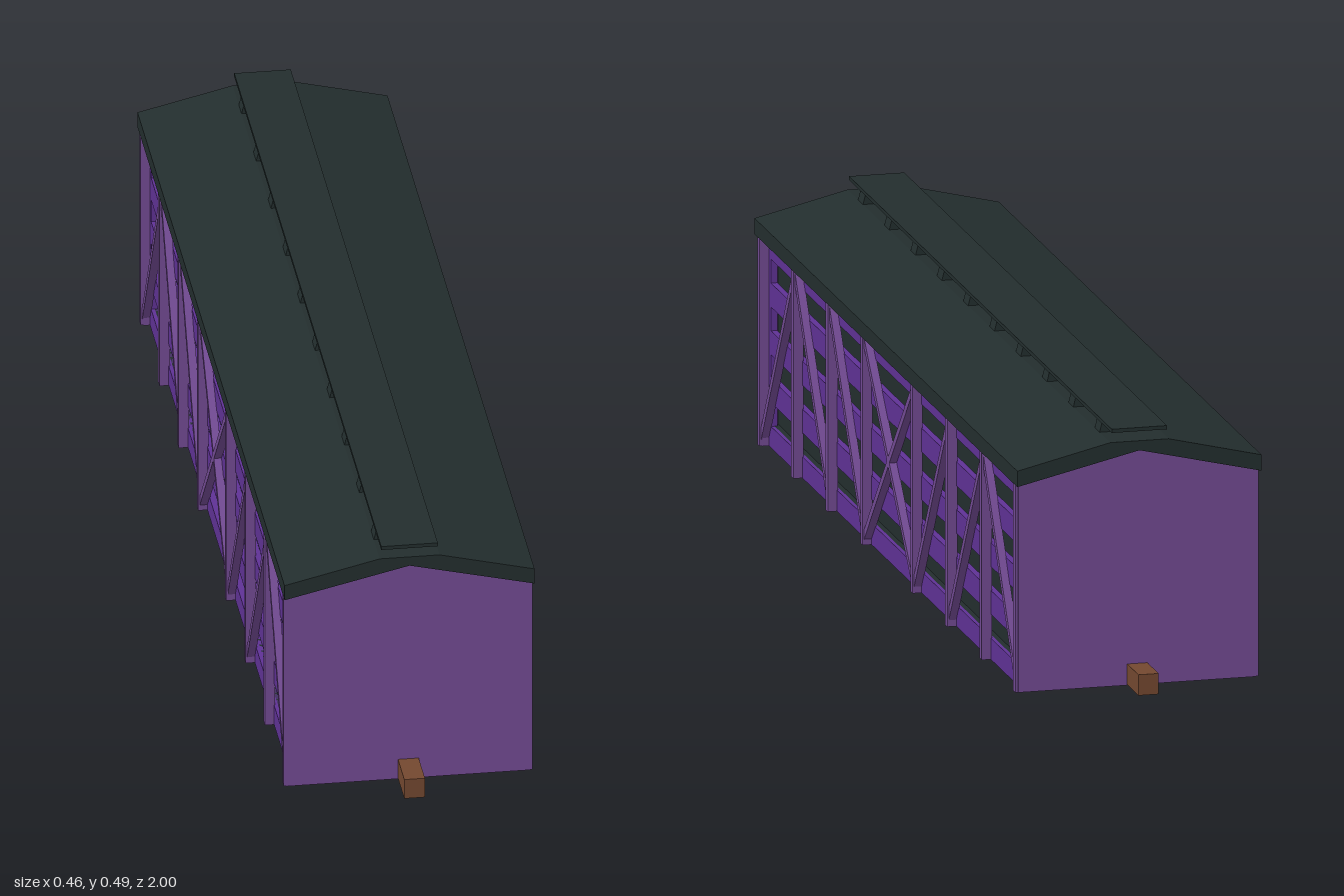
import * as THREE from 'three';

export function createModel() {
  const model = new THREE.Group();
  model.name = 'slattedRailCar';

  const mat = (name, color) => {
    const m = new THREE.MeshStandardMaterial({ color });
    m.name = name;
    return m;
  };
  const paleViolet = mat('paleViolet', 0x734b94);
  const deepViolet = mat('deepViolet', 0x603296);
  const slate = mat('slate', 0x232e2e);
  const brown = mat('brown', 0x744830);

  const add = (name, geometry, material, x = 0, y = 0, z = 0) => {
    const mesh = new THREE.Mesh(geometry, material);
    mesh.name = name;
    mesh.position.set(x, y, z);
    model.add(mesh);
    return mesh;
  };
  // Box given by its extents
  const box = (name, material, x0, x1, y0, y1, z0, z1) =>
    add(name, new THREE.BoxGeometry(x1 - x0, y1 - y0, z1 - z0), material,
      (x0 + x1) / 2, (y0 + y1) / 2, (z0 + z1) / 2);
  // Outline in x and y, extruded along z and centred on z
  const prism = (name, material, points, depth, z = 0) => {
    const shape = new THREE.Shape(points.map(([x, y]) => new THREE.Vector2(x, y)));
    const g = new THREE.ExtrudeGeometry(shape, { depth, bevelEnabled: false });
    return add(name, g.translate(0, 0, -depth / 2), material, 0, 0, z);
  };

  // Dark interior and floor
  box('interior', slate, -0.195, 0.195, 0.03, 0.4, -0.9, 0.9);
  box('floor', slate, -0.205, 0.205, 0.003, 0.04, -0.9, 0.9);

  // Gabled end walls and couplers
  for (const s of [-1, 1]) {
    prism('endWall', paleViolet,
      [[-0.224, 0], [0.224, 0], [0.224, 0.394], [0, 0.446], [-0.224, 0.394]], 0.02, s * 0.91);
    box('coupler', brown, -0.019, 0.019, 0.001, 0.04, s > 0 ? 0.91 : -1, s > 0 ? 1 : -0.91);
  }

  // Roof with flat crown
  prism('roof', slate, [[-0.23, 0.391], [0, 0.445], [0.23, 0.391], [0.23, 0.421],
    [0.055, 0.463], [-0.055, 0.463], [-0.23, 0.421]], 1.87);

  // Running board on saddles
  box('runningBoard', slate, -0.052, 0.052, 0.481, 0.488, -0.935, 0.935);
  for (let i = 0; i < 10; i++) {
    prism('boardSaddle', slate,
      [[-0.055, 0.462], [0.055, 0.462], [0.05, 0.482], [-0.05, 0.482]], 0.035, -0.841 + i * 0.187);
  }

  // Side slats, posts and diagonal braces
  const slats = [[0, 0.04], [0.085, 0.13], [0.175, 0.22], [0.265, 0.31], [0.355, 0.4]];
  const posts = [0.91, 0.67, 0.425, 0.178];
  const low = 0.012, high = 0.388;
  const braces = [[0.91, low, 0.67, high], [0.67, high, 0.425, low], [0.425, high, 0.178, low]];

  for (const s of [-1, 1]) {
    for (const [y0, y1] of slats) {
      add('slat', new THREE.BoxGeometry(0.012, y1 - y0, 1.8), deepViolet, s * 0.206, (y0 + y1) / 2, 0);
    }
    const brace = (z0, y0, z1, y1) => {
      const length = Math.hypot(z1 - z0, y1 - y0);
      const bar = add('brace', new THREE.BoxGeometry(0.015, 0.013, length), paleViolet,
        s * 0.2185, (y0 + y1) / 2, (z0 + z1) / 2);
      bar.rotation.x = -Math.atan2(y1 - y0, z1 - z0);
    };
    for (const e of [-1, 1]) {
      for (const z of posts) {
        add('post', new THREE.BoxGeometry(0.019, 0.394, 0.016), paleViolet, s * 0.2195, 0.197, e * z);
      }
      for (const [z0, y0, z1, y1] of braces) brace(e * z0, y0, e * z1, y1);
      // Crossed braces of the middle bay
      brace(-0.178, e > 0 ? low : high, 0.178, e > 0 ? high : low);
    }
    // Corner strips closing the slat ends
    for (const e of [-1, 1]) {
      add('cornerStrip', new THREE.BoxGeometry(0.012, 0.394, 0.016), deepViolet, s * 0.206, 0.197, e * 0.894);
    }
  }
  return model;
}
